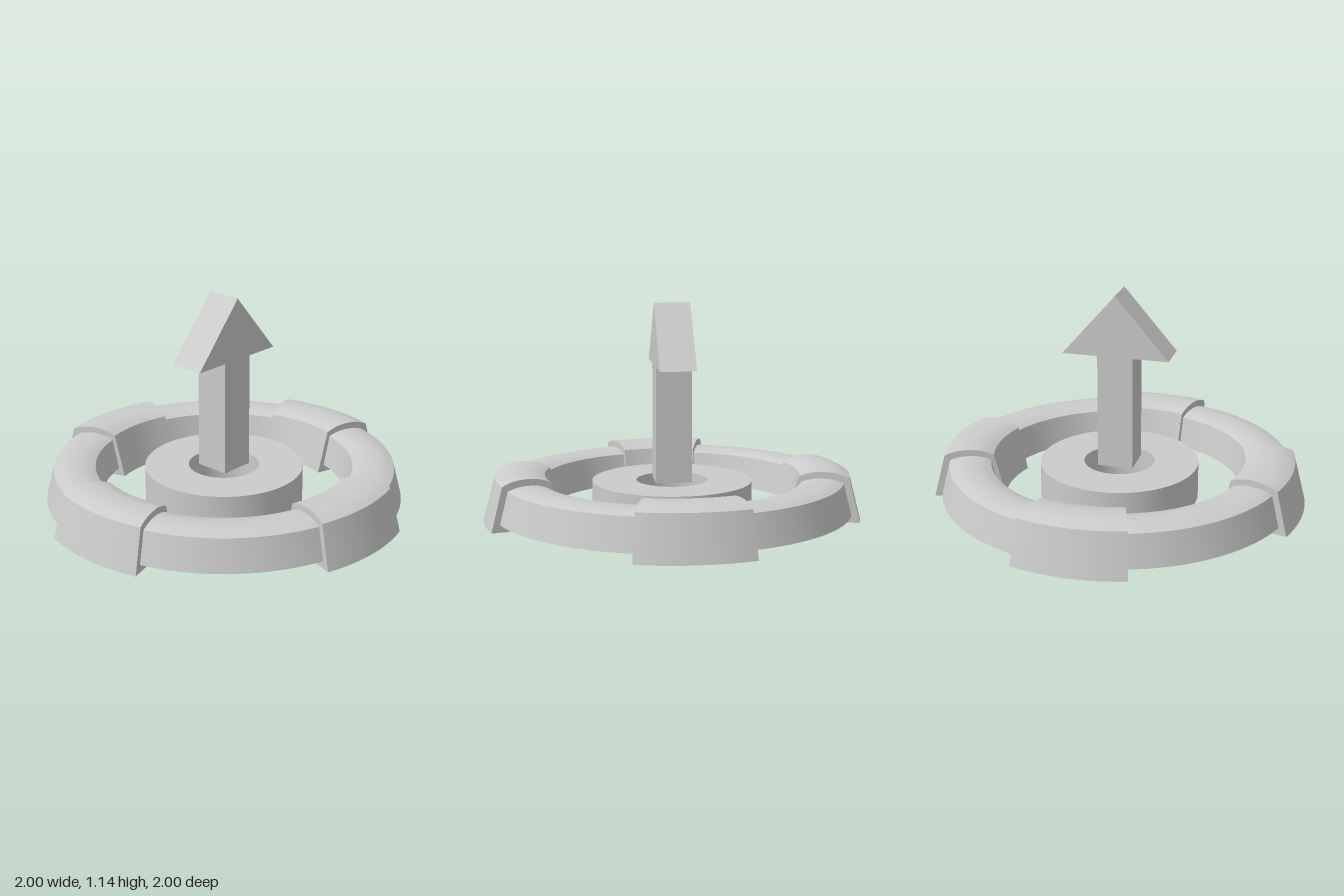
import * as THREE from 'three';
import { toCreasedNormals } from 'three/addons/utils/BufferGeometryUtils.js';

const grey = new THREE.MeshStandardMaterial({ color: 0xcccccc });
const greyDouble = new THREE.MeshStandardMaterial({ color: 0xcccccc, side: THREE.DoubleSide });

function addMesh(parent, name, geometry, material = grey) {
  const mesh = new THREE.Mesh(geometry, material);
  mesh.name = name;
  parent.add(mesh);
  return mesh;
}

// Closed cross-section: flat base, leaning walls and a shallow domed top
function domedProfile({ base, shoulder, crown, innerBase, outerBase, innerTop, outerTop }) {
  const points = [new THREE.Vector2(innerBase, base), new THREE.Vector2(outerBase, base)];
  const mid = (innerTop + outerTop) / 2;
  const half = (outerTop - innerTop) / 2;
  const steps = 12;
  for (let i = 0; i <= steps; i++) {
    const u = 1 - (2 * i) / steps;
    const y = shoulder + (crown - shoulder) * (1 - Math.abs(u) ** 2.3);
    points.push(new THREE.Vector2(mid + half * u, y));
  }
  points.push(points[0].clone());
  return points;
}

function revolve(points, segments, start = 0, sweep = Math.PI * 2) {
  return toCreasedNormals(new THREE.LatheGeometry(points, segments, start, sweep), 0.5);
}

export function createModel() {
  const model = new THREE.Group();
  model.name = 'ringWithArrow';

  // Outer ring, raised slightly off the ground
  const ringProfile = domedProfile({
    base: 0.04, shoulder: 0.208, crown: 0.23,
    innerBase: 0.655, outerBase: 0.955, innerTop: 0.69, outerTop: 0.912,
  });
  addMesh(model, 'outerRing', revolve(ringProfile, 96));

  // Four thicker clamps around the ring, each with closed ends
  const clampProfile = domedProfile({
    base: 0, shoulder: 0.235, crown: 0.265,
    innerBase: 0.618, outerBase: 1, innerTop: 0.675, outerTop: 0.94,
  });
  const halfAngle = THREE.MathUtils.degToRad(17.3);
  const clampBody = revolve(clampProfile, 20, -halfAngle, halfAngle * 2);
  const clampEnd = new THREE.ShapeGeometry(new THREE.Shape(clampProfile.slice(0, -1)));
  for (let i = 0; i < 4; i++) {
    const clamp = new THREE.Group();
    clamp.name = 'clamp' + (i + 1);
    clamp.rotation.y = (i * Math.PI) / 2;
    addMesh(clamp, 'clampBody', clampBody);
    for (const side of [-1, 1]) {
      addMesh(clamp, 'clampEnd', clampEnd, greyDouble).rotation.y = side * halfAngle - Math.PI / 2;
    }
    model.add(clamp);
  }

  // Central hub with a round through hole
  const hubTop = 0.195;
  const hubProfile = [[0.19, 0], [0.425, 0], [0.425, hubTop], [0.19, hubTop], [0.19, 0]]
    .map(([r, y]) => new THREE.Vector2(r, y));
  addMesh(model, 'hub', revolve(hubProfile, 64));

  // Upright arrow above the hub
  const arrowOutline = [
    [-0.095, hubTop], [0.095, hubTop], [0.095, 0.81], [0.285, 0.81],
    [0, 1.14], [-0.285, 0.81], [-0.095, 0.81],
  ].map(([x, y]) => new THREE.Vector2(x, y));
  const arrow = new THREE.ExtrudeGeometry(new THREE.Shape(arrowOutline), { depth: 0.19, bevelEnabled: false });
  arrow.translate(0, 0, -0.095);
  addMesh(model, 'arrow', arrow);

  return model;
}
